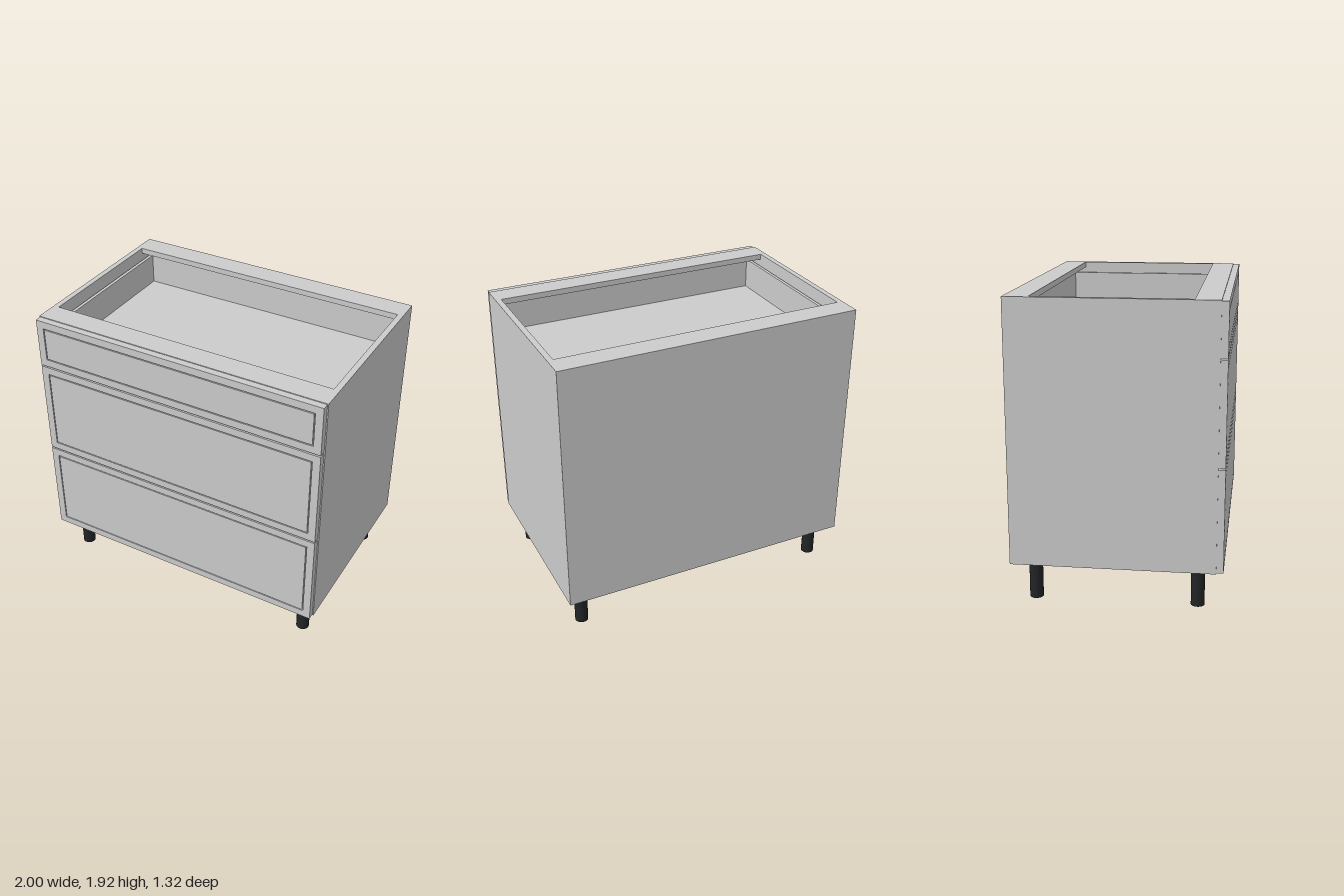
import * as THREE from 'three';

const grey = new THREE.MeshStandardMaterial({ color: 0xcccccc });
const black = new THREE.MeshStandardMaterial({ color: 0x222426 });

// Box given by its minimum and maximum along each axis
function panel(parent, name, [x0, x1], [y0, y1], [z0, z1]) {
  const mesh = new THREE.Mesh(new THREE.BoxGeometry(x1 - x0, y1 - y0, z1 - z0), grey);
  mesh.position.set((x0 + x1) / 2, (y0 + y1) / 2, (z0 + z1) / 2);
  mesh.name = name;
  parent.add(mesh);
}

function rectangle(target, x, y0, y1) {
  target.moveTo(-x, y0);
  target.lineTo(x, y0);
  target.lineTo(x, y1);
  target.lineTo(-x, y1);
  target.closePath();
  return target;
}

const T = 0.038;                    // board thickness
const BOTTOM = 0.255, TOP = 1.92;   // carcass height range
const BACK = -0.66, FRONT = 0.618;  // carcass depth range
const INNER = 1 - T;

// Front with a fine groove between its frame and its centre field
function drawerFront(parent, y0, y1) {
  const w = 0.993, border = 0.05, groove = 0.007, depth = 0.01, face = 0.662;
  panel(parent, 'frontBacking', [-w, w], [y0, y1], [FRONT, face - depth]);
  const shape = rectangle(new THREE.Shape(), w, y0, y1);
  shape.holes.push(rectangle(new THREE.Path(), w - border, y0 + border, y1 - border));
  const frame = new THREE.Mesh(
    new THREE.ExtrudeGeometry(shape, { depth, bevelEnabled: false }), grey);
  frame.position.z = face - depth;
  frame.name = 'frontFrame';
  parent.add(frame);
  const b = border + groove;
  panel(parent, 'frontField', [b - w, w - b], [y0 + b, y1 - b], [face - depth, face]);
}

// Open box behind each front
function drawerBox(parent, y0, y1) {
  const outer = 0.945, t = 0.022, back = -0.6;
  for (const s of [-1, 1]) {
    const xs = s < 0 ? [-outer, t - outer] : [outer - t, outer];
    panel(parent, 'drawerSide', xs, [y0, y1], [back, FRONT]);
  }
  panel(parent, 'drawerBack', [t - outer, outer - t], [y0, y1], [back, back + t]);
  panel(parent, 'drawerInnerFront', [t - outer, outer - t], [y0, y1], [FRONT - t, FRONT]);
  panel(parent, 'drawerFloor', [t - outer, outer - t], [y0, y0 + t], [back + t, FRONT - t]);
}

export function createModel() {
  const model = new THREE.Group();
  model.name = 'drawerCabinet';

  // Carcass
  const carcass = new THREE.Group();
  carcass.name = 'carcass';
  model.add(carcass);
  panel(carcass, 'rightSide', [-1, -INNER], [BOTTOM, TOP], [BACK, FRONT]);
  panel(carcass, 'leftSide', [INNER, 1], [BOTTOM, TOP], [BACK, FRONT]);
  panel(carcass, 'bottomPanel', [-INNER, INNER], [BOTTOM, BOTTOM + T], [BACK, FRONT]);
  panel(carcass, 'backPanel', [-INNER, INNER], [BOTTOM + T, TOP - T], [BACK, BACK + 0.03]);
  panel(carcass, 'backRail', [-INNER, INNER], [TOP - T, TOP], [BACK, -0.505]);
  panel(carcass, 'frontRail', [-INNER, INNER], [TOP - T, TOP], [0.465, FRONT]);

  // Drawers: front range, then box range
  const drawers = [
    [0.26, 0.914, 0.32, 0.75],
    [0.924, 1.576, 0.98, 1.41],
    [1.586, 1.915, 1.618, 1.845],
  ];
  for (const [f0, f1, b0, b1] of drawers) {
    const drawer = new THREE.Group();
    drawer.name = 'drawer';
    drawerFront(drawer, f0, f1);
    drawerBox(drawer, b0, b1);
    model.add(drawer);
  }

  // Legs
  const legGeometry = new THREE.CylinderGeometry(0.043, 0.043, BOTTOM, 32);
  for (const x of [-0.88, 0.88]) {
    for (const z of [-0.52, 0.502]) {
      const leg = new THREE.Mesh(legGeometry, black);
      leg.position.set(x, BOTTOM / 2, z);
      leg.name = 'leg';
      model.add(leg);
    }
  }
  return model;
}
